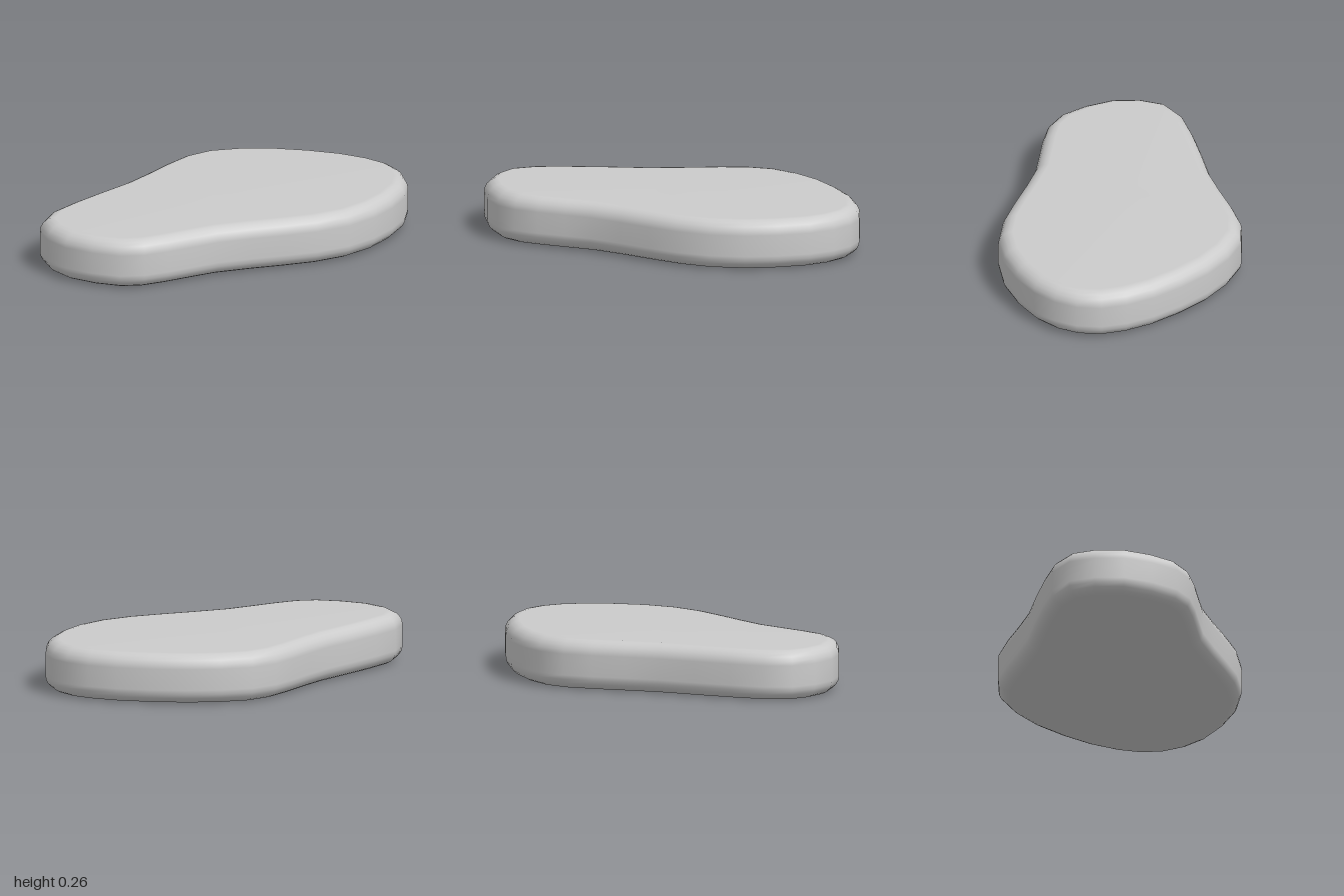
import * as THREE from 'three';

const HEIGHT = 0.26, RADIUS = 0.075, ARC = 5;

// Outline of the slab as x, z pairs, clockwise seen from above
const OUTLINE = [
  0.20, -1, 0.325, -0.97, 0.43, -0.90, 0.52, -0.79, 0.59, -0.63, 0.63, -0.46, 0.63, -0.28, 0.58, -0.10,
  0.505, 0.055, 0.42, 0.215, 0.34, 0.38, 0.30, 0.52, 0.26, 0.665, 0.215, 0.79, 0.135, 0.89, 0, 0.96,
  -0.155, 1, -0.305, 0.98, -0.43, 0.915, -0.50, 0.78, -0.525, 0.60, -0.54, 0.40, -0.55, 0.20, -0.58, 0.02,
  -0.615, -0.155, -0.635, -0.31, -0.61, -0.465, -0.52, -0.61, -0.395, -0.74, -0.24, -0.85, -0.085, -0.935, 0.065, -0.985,
];

function roundedSlab() {
  const pts = [];
  for (let i = 0; i < OUTLINE.length; i += 2) pts.push(new THREE.Vector2(OUTLINE[i], OUTLINE[i + 1]));
  const n = pts.length;

  // Inward mitre direction at each corner
  const inward = pts.map((p, i) => {
    const side = (a, b) => new THREE.Vector2(a.y - b.y, b.x - a.x).normalize();
    const n0 = side(pts[(i + n - 1) % n], p), n1 = side(p, pts[(i + 1) % n]);
    const m = n0.clone().add(n1).normalize();
    return m.divideScalar(m.dot(n0));
  });

  // Edge section from bottom to top: quarter round, straight wall, quarter round
  const section = [];
  for (let k = 0; k <= ARC; k++) {
    const a = (k / ARC) * Math.PI / 2;
    section.push([RADIUS * (1 - Math.sin(a)), RADIUS * (1 - Math.cos(a))]);
  }
  for (let k = ARC; k >= 0; k--) section.push([section[k][0], HEIGHT - section[k][1]]);

  const pos = [], index = [];
  for (const [inset, y] of section) {
    pts.forEach((p, i) => pos.push(p.x + inward[i].x * inset, y, p.y + inward[i].y * inset));
  }
  for (let r = 0; r < section.length - 1; r++) {
    for (let i = 0; i < n; i++) {
      const j = (i + 1) % n, a = r * n + i, b = r * n + j;
      index.push(a, a + n, b, b, a + n, b + n);
    }
  }

  // Flat bottom and top as fans
  const bottom = pos.length / 3, top = bottom + 1, last = (section.length - 1) * n;
  pos.push(-0.08, 0, 0, -0.08, HEIGHT, 0);
  for (let i = 0; i < n; i++) {
    const j = (i + 1) % n;
    index.push(bottom, i, j, top, last + j, last + i);
  }

  const geo = new THREE.BufferGeometry();
  geo.setAttribute('position', new THREE.Float32BufferAttribute(pos, 3));
  geo.setIndex(index);
  geo.computeVertexNormals();
  return geo;
}

export function createModel() {
  const group = new THREE.Group();
  group.name = 'steppingStone';
  const slab = new THREE.Mesh(roundedSlab(), new THREE.MeshStandardMaterial({ color: 0xcccccc }));
  slab.name = 'slab';
  group.add(slab);
  return group;
}
